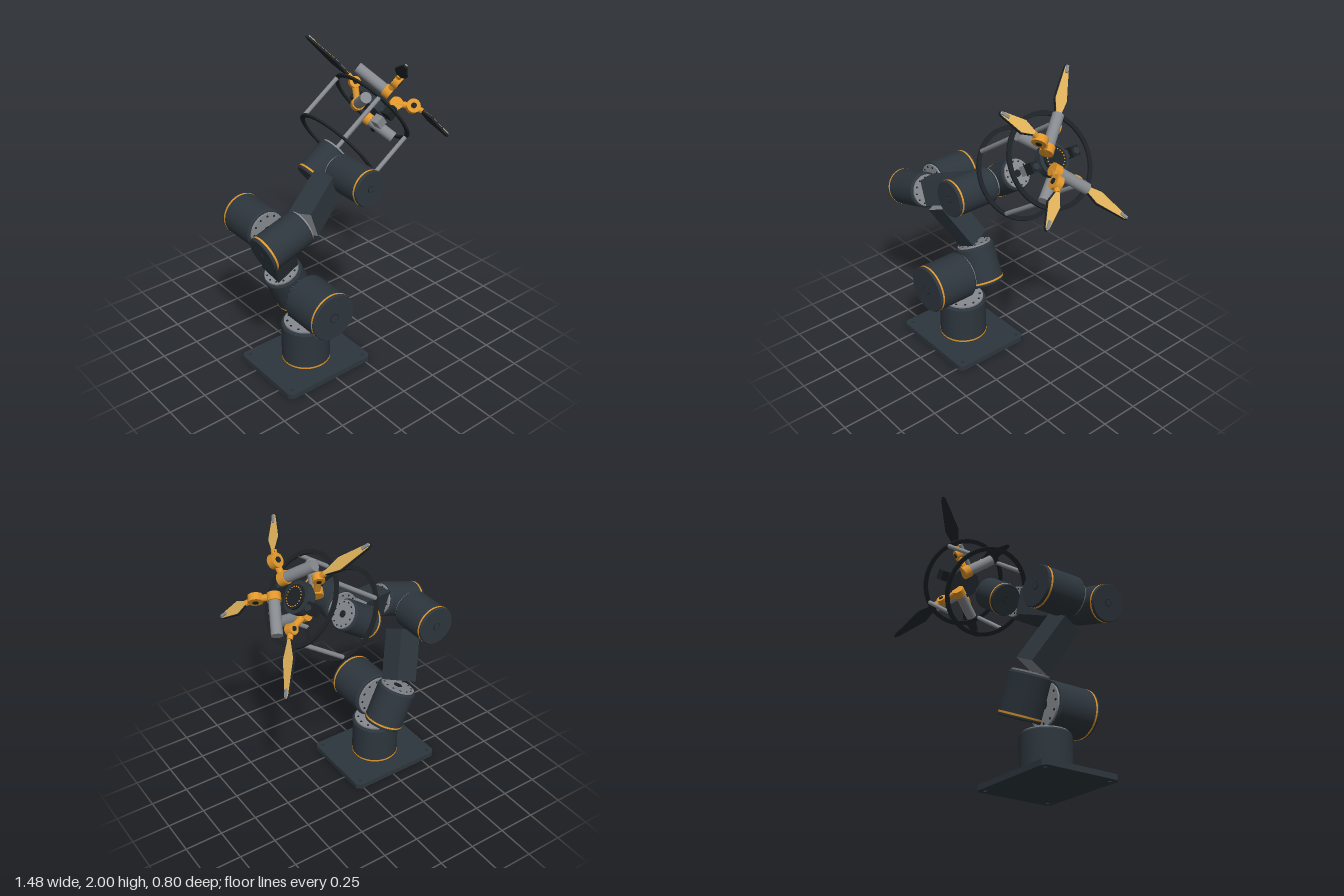
import * as THREE from 'three';
import { mergeGeometries } from 'three/addons/utils/BufferGeometryUtils.js';

const mat = (name, color) => {
  const m = new THREE.MeshStandardMaterial({ color });
  m.name = name;
  return m;
};
const V = (x, y, z) => new THREE.Vector3(x, y, z);
const UP = V(0, 1, 0);

export function createModel() {
  const model = new THREE.Group();
  model.name = 'robotArm';
  const shell = mat('slate', 0x2d363d);
  const black = mat('black', 0x1d2226);
  const grey = mat('grey', 0x868a8f);
  const orange = mat('orange', 0xe0962c);
  const gold = mat('gold', 0xe0b25a);

  const add = (parent, name, geometry, material, x = 0, y = 0, z = 0) => {
    const m = new THREE.Mesh(geometry, material);
    m.name = name;
    m.position.set(x, y, z);
    parent.add(m);
    return m;
  };
  const cyl = (r, h, n = 48, rTop = r) => new THREE.CylinderGeometry(rTop, r, h, n);

  // Cylinder running from a to b
  const rod = (parent, name, a, b, r, material, n = 24) => {
    const d = b.clone().sub(a);
    const m = add(parent, name, cyl(r, d.length(), n), material);
    m.position.copy(a).addScaledVector(d, 0.5);
    m.quaternion.setFromUnitVectors(UP, d.normalize());
    return m;
  };

  // Circle of small bolt heads around the y axis
  const boltCircle = (r, count, size, h) => mergeGeometries(
    Array.from({ length: count }, (_, i) => {
      const t = (i / count) * Math.PI * 2;
      return cyl(size, h, 8).translate(r * Math.cos(t), 0, r * Math.sin(t));
    }));

  // Joint module: capped end at a, orange band, body, bolted flange at b
  const joint = (name, a, b, r) => {
    const g = new THREE.Group();
    g.name = name;
    const d = b.clone().sub(a), len = d.length();
    g.position.copy(a);
    g.quaternion.setFromUnitVectors(UP, d.normalize());
    add(g, 'endCap', cyl(r - 0.005, 0.008, 48, r), shell, 0, 0.004);
    add(g, 'endCapRim', cyl(r, 0.01), shell, 0, 0.013);
    add(g, 'capRecess', cyl(r * 0.2, 0.004, 24), black, 0, 0);
    add(g, 'capBoss', cyl(r * 0.17, 0.008, 24), shell, 0, 0);
    add(g, 'band', cyl(r + 0.001, 0.012), orange, 0, 0.024);
    add(g, 'body', cyl(r, len - 0.048), shell, 0, 0.03 + (len - 0.048) / 2);
    add(g, 'shoulder', cyl(r, 0.012, 48, r - 0.008), shell, 0, len - 0.012);
    add(g, 'flange', cyl(r * 0.88, 0.014), grey, 0, len - 0.002);
    add(g, 'flangeBolts', boltCircle(r * 0.74, 12, r * 0.05, 0.004), black, 0, len + 0.006);
    add(g, 'flangeHub', cyl(r * 0.22, 0.006, 24), black, 0, len + 0.006);
    model.add(g);
  };

  // Oblique box link with grey ends
  const link = (name, a, b) => {
    const d = b.clone().sub(a), len = d.length(), y = d.clone().normalize();
    const x = y.clone().cross(V(0, 0, 1)).normalize();
    const m = add(model, name, new THREE.BoxGeometry(0.17, len, 0.148),
      [shell, shell, grey, grey, shell, shell]);
    m.quaternion.setFromRotationMatrix(new THREE.Matrix4().makeBasis(x, y, x.clone().cross(y)));
    m.position.copy(a).addScaledVector(d, 0.5);
  };

  // Base plate with clipped corners and bolt holes
  const w = 0.328, h = 0.272, c = 0.025;
  const plate = new THREE.Shape([[-w + c, -h], [w - c, -h], [w, -h + c], [w, h - c],
    [w - c, h], [-w + c, h], [-w, h - c], [-w, -h + c]].map(p => new THREE.Vector2(...p)));
  for (const sx of [-1, 1]) for (const sz of [-1, 1]) {
    plate.holes.push(new THREE.Path().absarc(sx * 0.285, sz * 0.23, 0.012, 0, Math.PI * 2, true));
  }
  add(model, 'basePlate', new THREE.ExtrudeGeometry(plate, { depth: 0.035, bevelEnabled: false })
    .rotateX(-Math.PI / 2), shell, -0.283, 0, 0.107);

  // Arm chain
  joint('baseJoint', V(-0.283, 0.022, 0.106), V(-0.283, 0.315, 0.106), 0.158);
  joint('shoulderJoint', V(-0.283, 0.495, 0.4), V(-0.283, 0.495, 0.1), 0.158);
  joint('upperArmJoint', V(-0.232, 0.386, -0.05), V(-0.35, 0.642, -0.05), 0.13);
  link('upperArmLink', V(-0.36, 0.68, -0.047), V(-0.495, 0.955, 0.098));
  joint('elbowJoint', V(-0.56, 1.095, -0.165), V(-0.56, 1.095, 0.115), 0.13);
  joint('forearmJoint', V(-0.706, 1.048, 0.265), V(-0.42, 1.138, 0.265), 0.115);
  link('forearmLink', V(-0.405, 1.146, 0.262), V(-0.093, 1.247, 0.1));
  joint('wristJoint', V(-0.008, 1.3, 0.4), V(-0.008, 1.3, 0.095), 0.115);
  joint('handJoint', V(-0.112, 1.222, -0.053), V(0.085, 1.358, -0.053), 0.103);

  // Hand: local y is the gripping axis
  const hand = new THREE.Group();
  hand.name = 'hand';
  hand.position.set(0.106, 1.373, -0.053);
  hand.rotation.z = -55 * Math.PI / 180;
  model.add(hand);

  // Guard rings and the four rods between them
  const hoop = new THREE.Shape().absarc(0, 0, 0.298, 0, Math.PI * 2);
  hoop.holes.push(new THREE.Path().absarc(0, 0, 0.27, 0, Math.PI * 2, true));
  const hoopGeo = new THREE.ExtrudeGeometry(hoop, { depth: 0.013, bevelEnabled: false, curveSegments: 40 })
    .rotateX(-Math.PI / 2).translate(0, -0.0065, 0);
  add(hand, 'rearRing', hoopGeo, black);
  add(hand, 'frontRing', hoopGeo, black, 0, 0.336);
  for (const sx of [-1, 1]) for (const sz of [-1, 1]) {
    rod(hand, 'guardRod', V(sx * 0.2, 0, sz * 0.2), V(sx * 0.2, 0.336, sz * 0.2), 0.014, grey);
  }

  // Palm with side sensors
  add(hand, 'palm', cyl(0.1, 0.06), shell, 0, 0.345);
  add(hand, 'palmFace', cyl(0.075, 0.02), black, 0, 0.38);
  add(hand, 'palmStuds', boltCircle(0.06, 20, 0.004, 0.004), orange, 0, 0.392);
  for (const s of [-1, 1]) {
    add(hand, 'sensorArm', new THREE.BoxGeometry(0.05, 0.03, 0.1), shell, 0, 0.34, s * 0.12);
    add(hand, 'sensor', new THREE.BoxGeometry(0.065, 0.07, 0.055), black, 0, 0.355, s * 0.155);
    add(hand, 'sensorLens', cyl(0.02, 0.012, 20), shell, 0, 0.394, s * 0.155);
  }
  add(hand, 'driveBox', new THREE.BoxGeometry(0.06, 0.06, 0.06), grey, 0, 0.27, 0.13);

  // Kite-shaped outline of unit length, half width hw
  const kite = (L, hw, inset) => new THREE.Shape([[0.28, 0], [0.36, 0.08], [1, 0.36], [0.32, 0.95], [0.12, 1],
    [-0.12, 1], [-0.32, 0.95], [-1, 0.36], [-0.36, 0.08], [-0.28, 0]]
    .map(([x, y]) => new THREE.Vector2(x * (hw - inset), inset + y * (L - 2 * inset))));
  const slab = (shape, depth) => new THREE.ExtrudeGeometry(shape, { depth, bevelEnabled: false });

  // Finger: motor, two knuckles, orange links and a blade
  const finger = (name, motorEnd, root, knuckle, base, tip, r) => {
    const f = new THREE.Group();
    f.name = name;
    const d = tip.clone().sub(base), L = d.length(), y = d.normalize();
    const x = y.clone().cross(UP).normalize(), z = x.clone().cross(y);
    rod(f, 'motor', root, motorEnd, 0.035, grey);
    const out = motorEnd.clone().sub(root).normalize();
    rod(f, 'motorCollar', root.clone().addScaledVector(out, -0.02),
      root.clone().addScaledVector(out, 0.03), 0.042, orange);
    const pin = (n, p, rad, len, m) => rod(f, n, p.clone().addScaledVector(x, -len / 2),
      p.clone().addScaledVector(x, len / 2), rad, m);
    rod(f, 'proximalLink', root, knuckle, 0.021, orange);
    pin('knuckle', knuckle, r, 0.045, orange);
    pin('knucklePin', knuckle, r * 0.4, 0.056, black);
    rod(f, 'bladeStub', knuckle, base.clone().addScaledVector(y, 0.02), 0.018, orange);
    const blade = new THREE.Group();
    blade.name = 'blade';
    blade.position.copy(base);
    blade.quaternion.setFromRotationMatrix(new THREE.Matrix4().makeBasis(x, y, z));
    add(blade, 'bladeBack', slab(kite(L, 0.046, 0), 0.014), black, 0, 0, -0.009);
    add(blade, 'bladePad', slab(kite(L, 0.046, 0.006), 0.003), gold, 0, 0, 0.005);
    add(blade, 'tipNail', new THREE.BoxGeometry(0.018, 0.05, 0.014), grey, 0, L - 0.036, 0.008);
    f.add(blade);
    hand.add(f);
  };
  for (const s of [-1, 1]) {
    finger('longFinger', V(s * 0.205, 0.293, 0.12), V(s * 0.07, 0.285, -0.04),
      V(s * 0.165, 0.37, -0.09), V(s * 0.2, 0.378, -0.115), V(s * 0.493, 0.378, -0.342), 0.036);
    finger('shortFinger', V(s * 0.228, 0.442, -0.09), V(s * 0.06, 0.45, 0.085),
      V(s * 0.125, 0.51, 0.15), V(s * 0.162, 0.53, 0.172), V(s * 0.346, 0.518, 0.343), 0.045);
  }
  return model;
}
